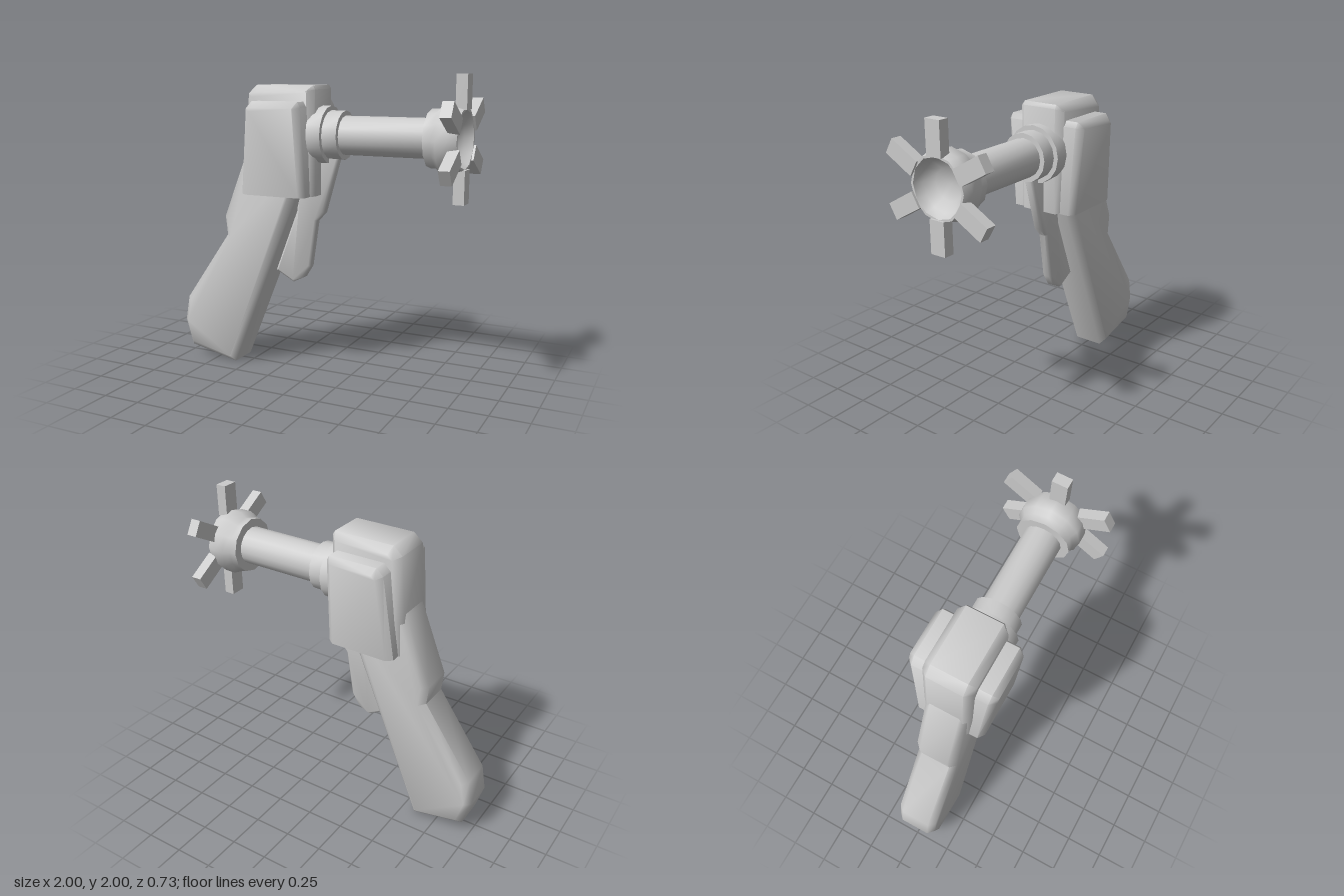
import * as THREE from 'three';
import { toCreasedNormals } from 'three/addons/utils/BufferGeometryUtils.js';

const material = new THREE.MeshStandardMaterial({ color: 0xcccccc });
const AXIS_Y = 1.61; // height of the barrel axis

function addMesh(parent, name, geometry, crease = 0.9) {
  const mesh = new THREE.Mesh(toCreasedNormals(geometry, crease), material);
  mesh.name = name;
  parent.add(mesh);
  return mesh;
}

// Side outline (x, y) thickened to +-half in z, with bevelled edges
function slab(outline, half, bevel) {
  const shape = new THREE.Shape(outline.map(([x, y]) => new THREE.Vector2(x, y)));
  return new THREE.ExtrudeGeometry(shape, {
    depth: 2 * (half - bevel), bevelEnabled: true, bevelSize: bevel,
    bevelThickness: bevel, bevelOffset: -bevel, bevelSegments: 1,
  }).translate(0, 0, -(half - bevel));
}

// Move every vertex by a rule
function deform(geometry, rule) {
  const p = geometry.attributes.position;
  const v = new THREE.Vector3();
  for (let i = 0; i < p.count; i++) {
    rule(v.fromBufferAttribute(p, i));
    p.setXYZ(i, v.x, v.y, v.z);
  }
  return geometry;
}

// Turned part: [x, radius] profile around the barrel axis
function turned(profile, sides) {
  return new THREE.LatheGeometry(profile.map(([x, r]) => new THREE.Vector2(r, x)), sides)
    .rotateZ(-Math.PI / 2).translate(0, AXIS_Y, 0);
}

export function createModel() {
  const group = new THREE.Group();

  // Slanted handle with a swollen heel
  addMesh(group, 'grip', slab([
    [-0.59, 0.005], [-0.1, 1.22], [-0.06, 1.4], [-0.44, 1.55], [-0.48, 1.47],
    [-0.65, 1.04], [-0.635, 0.91], [-0.97, 0.43], [-1, 0.26], [-0.945, 0.08],
  ], 0.14, 0.04));

  // Thin blade in front of the handle
  addMesh(group, 'triggerBlade', slab([
    [-0.3, 0.68], [-0.17, 0.61], [-0.09, 0.65], [-0.04, 0.73], [0.005, 1.04],
    [0.06, 1.1], [0.165, 1.47], [0.15, 1.52], [-0.1, 1.52], [-0.14, 1.1],
  ], 0.035, 0.015));

  // Main housing, cut flat underneath
  const flatten = (v) => { v.y = Math.max(v.y, 1.22); };
  addMesh(group, 'housing', deform(slab([
    [0.04, 1.175], [0.04, 1.9], [0.025, 1.925], [-0.38, 1.925], [-0.44, 1.87],
    [-0.47, 1.45], [-0.48, 1.175],
  ], 0.165, 0.045), flatten));

  // Cheek pads on both sides, narrowing downward
  addMesh(group, 'cheekPads', deform(slab([
    [0.015, 1.18], [0, 1.79], [-0.02, 1.825], [-0.345, 1.825], [-0.39, 1.78], [-0.45, 1.18],
  ], 0.29, 0.04), (v) => {
    flatten(v);
    v.z *= THREE.MathUtils.mapLinear(v.y, 1.22, 1.82, 0.83, 1);
  }));

  // Barrel with stepped collars
  addMesh(group, 'barrel', turned([[0.1, 0.125], [0.85, 0.125]], 16));
  addMesh(group, 'rearCollar', turned([
    [0, 0], [0, 0.187], [0.1, 0.187], [0.1, 0.157], [0.2, 0.157], [0.2, 0.11],
  ], 16));

  // Hollow flared muzzle
  addMesh(group, 'muzzle', turned([
    [0.77, 0.1], [0.77, 0.182], [0.82, 0.182], [0.855, 0.212], [0.93, 0.212],
    [0.985, 0.195], [0.985, 0.18], [0.93, 0.155], [0.885, 0.1], [0.87, 0],
  ], 12));

  // Six prongs around the muzzle rim
  const prongs = new THREE.Group();
  prongs.name = 'prongs';
  prongs.position.y = AXIS_Y;
  group.add(prongs);
  for (let i = 0; i < 6; i++) {
    const geometry = new THREE.BoxGeometry(0.07, 0.21, 0.105).translate(0.965, 0.285, 0);
    addMesh(prongs, 'prong', geometry).rotation.x = i * Math.PI / 3;
  }
  return group;
}
